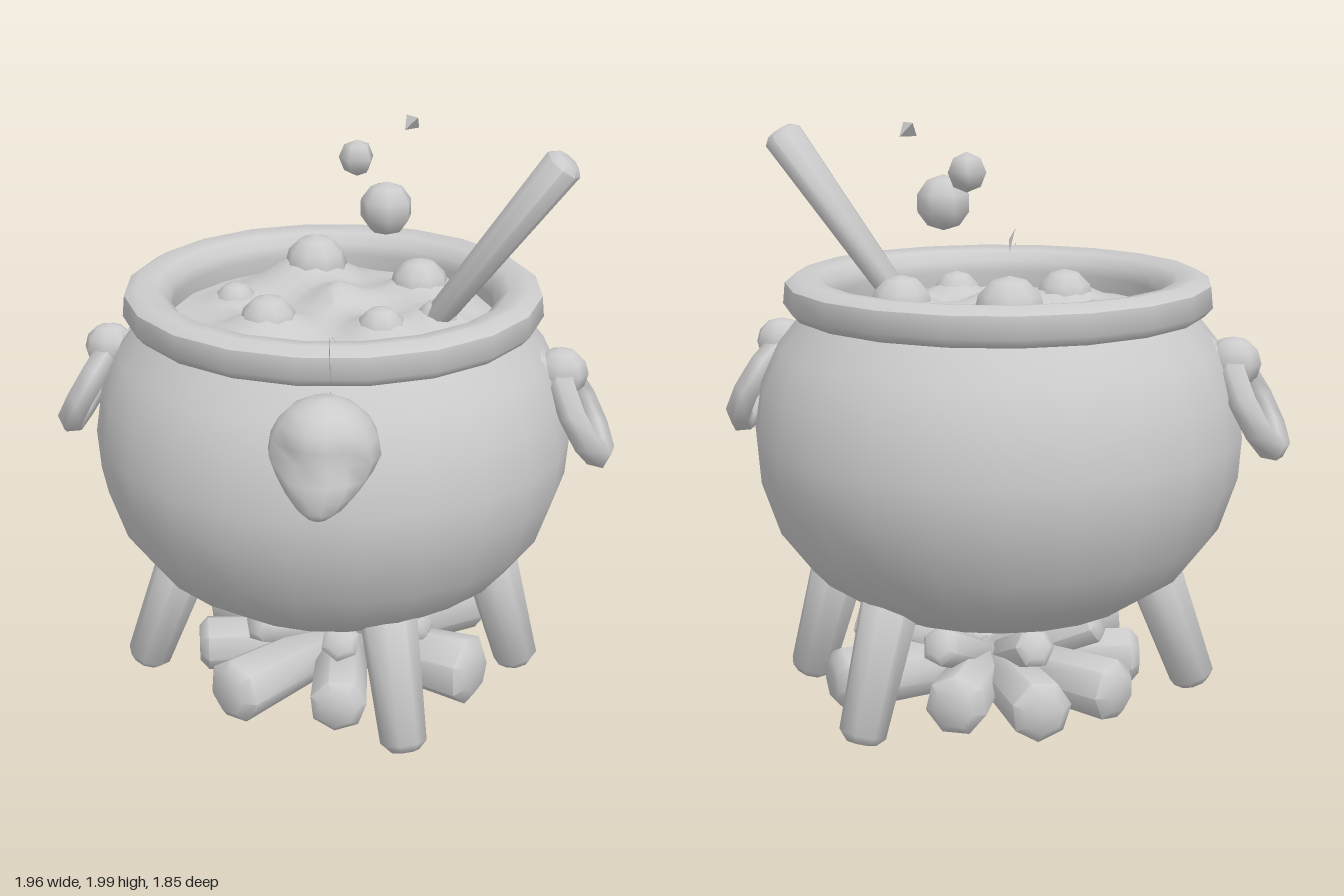
import * as THREE from 'three';
import { toCreasedNormals } from 'three/addons/utils/BufferGeometryUtils.js';

const CZ = -0.1; // depth of the pot's axis
const V = (x, y, z) => new THREE.Vector3(x, y, z);

export function createModel() {
  const root = new THREE.Group();
  const mat = new THREE.MeshStandardMaterial({ color: 0xcccccc });
  const thin = new THREE.MeshStandardMaterial({ color: 0xcccccc, side: THREE.DoubleSide });

  function add(name, geo, pos = [0, 0, 0], parent = root, material = mat) {
    const mesh = new THREE.Mesh(geo, material);
    mesh.name = name;
    mesh.position.set(...pos);
    parent.add(mesh);
    return mesh;
  }

  const lathe = (pts, segs) =>
    new THREE.LatheGeometry(pts.map(p => new THREE.Vector2(...p)), segs);

  // Tapered rod with chamfered ends running from a to b
  function rod(name, a, b, ra, rb, sides, parent = root) {
    const len = a.distanceTo(b), c = Math.min(ra, rb) * 0.35;
    const geo = lathe([[0, 0], [ra * 0.65, 0], [ra, c], [rb, len - c], [rb * 0.65, len], [0, len]], sides);
    const mesh = add(name, toCreasedNormals(geo, 1.1), a.toArray(), parent);
    mesh.quaternion.setFromUnitVectors(V(0, 1, 0), b.clone().sub(a).normalize());
    return mesh;
  }

  // Pot body
  add('potBody', lathe([[0, 0.3], [0.3, 0.33], [0.49, 0.39], [0.65, 0.5], [0.755, 0.64], [0.815, 0.82],
    [0.825, 0.96], [0.8, 1.12], [0.74, 1.25], [0.66, 1.35], [0.64, 1.38]], 24), [0, 0, CZ], root, thin);

  // Thick rolled rim, with an inner wall sloping into the stew
  add('rim', toCreasedNormals(lathe([[0.64, 1.36], [0.69, 1.36], [0.717, 1.39], [0.71, 1.46], [0.67, 1.485],
    [0.6, 1.475], [0.56, 1.44], [0.555, 1.4], [0.565, 1.33]], 20), 0.9), [0, 0, CZ], root, thin);

  // Bubbles rising out of the stew: x, y, z, radius
  const bubbles = [[-0.12, 1.415, -0.46, 0.115], [0.27, 1.395, -0.33, 0.105], [-0.19, 1.375, 0.08, 0.1],
    [0.19, 1.37, 0.08, 0.085], [-0.36, 1.35, -0.19, 0.075], [0, 1.36, -0.2, 0.08], [0.36, 1.36, -0.08, 0.075]];
  bubbles.forEach(([x, y, z, r]) => add('bubble', new THREE.SphereGeometry(r, 9, 6), [x, y, z]));

  // Stew surface, drawn up into a skirt around each bubble
  const stew = new THREE.RingGeometry(0.001, 0.58, 26, 11).rotateX(-Math.PI / 2);
  const sp = stew.attributes.position;
  for (let i = 0; i < sp.count; i++) {
    const x = sp.getX(i), z = sp.getZ(i);
    const fade = Math.min(1, (0.58 - Math.hypot(x, z)) / 0.1);
    let y = 0.015 * Math.sin(9 * x + 1) * Math.cos(8 * z);
    for (const [bx, by, bz, r] of bubbles) {
      const d = Math.hypot(x - bx, z + CZ - bz) / (r * 1.35);
      y += (by - 1.28) * Math.exp(-d * d);
    }
    sp.setY(i, y * fade);
  }
  stew.computeVertexNormals();
  add('stew', stew, [0, 1.345, CZ]);

  // Droplets in the air
  add('dropletLarge', new THREE.SphereGeometry(0.092, 7, 5), [0.17, 1.72, -0.17]);
  add('dropletMedium', new THREE.SphereGeometry(0.064, 5, 4), [0.04, 1.84, -0.37]);
  add('dropletSmall', new THREE.TetrahedronGeometry(0.038, 0), [0.23, 1.97, -0.37]);

  // Stirring stick, wider towards its top
  const stick = rod('stirringStick', V(0.34, 1.35, -0.065), V(0.77, 1.935, -0.07), 0.06, 0.09, 8);
  stick.scale.set(0.75, 1, 1.05);

  // Skull ornament: a ball with sunken eye sockets, its lower half drawn forward into a jaw
  const head = new THREE.SphereGeometry(0.172, 14, 10);
  const hp = head.attributes.position;
  for (let i = 0; i < hp.count; i++) {
    const p = V().fromBufferAttribute(hp, i);
    const d = p.distanceTo(V(Math.sign(p.x) * 0.08, 0.01, 0.145));
    p.multiplyScalar(1 - 0.4 * Math.max(0, 1 - d / 0.075));
    const t = Math.max(0, -p.y / 0.172);
    p.x *= 1 - 0.3 * t;
    p.z += 0.11 * t * t;
    hp.setXYZ(i, p.x, p.y, Math.min(p.z, 0.165));
  }
  head.computeVertexNormals();
  add('skullOrnament', head, [0.11, 1.225, 0.76]);

  // Thin curved spike joining the skull to the rim
  const spike = new THREE.BufferGeometry().setFromPoints([
    V(0.12, 1.36, 0.7), V(0.1, 1.54, 0.6), V(0.1, 1.48, 0.61),
    V(0.1, 1.54, 0.6), V(0.09, 1.47, 0.46), V(0.12, 1.5, 0.58)]);
  spike.computeVertexNormals();
  add('spike', spike, [0, 0, 0], root, thin);

  // Side handles: a small head-shaped mount holding a hanging ring
  [[0, 'left'], [Math.PI, 'right']].forEach(([turn, side]) => {
    const handle = new THREE.Group();
    handle.name = side + 'Handle';
    handle.position.z = -0.065;
    handle.rotation.y = turn;
    root.add(handle);
    const ring = add('ring', new THREE.TorusGeometry(0.155, 0.047, 5, 9).rotateY(Math.PI / 2), [0.86, 1.06, 0], handle);
    ring.rotation.z = 0.5;
    const mount = add('mount', new THREE.SphereGeometry(0.088, 8, 6), [0.785, 1.205, 0], handle);
    mount.scale.set(1.05, 1, 0.9);
    rod('mountRoot', V(0.66, 1.22, 0), V(0.82, 1.16, 0), 0.08, 0.07, 7, handle);
  });

  // Four splayed legs: foot x, z and top x, z
  [[0.34, 0.5, 0.25, 0.33], [0.68, -0.15, 0.55, -0.14], [0.32, -0.7, 0.25, -0.54], [-0.67, 0.06, -0.5, 0.02]]
    .forEach(([fx, fz, tx, tz]) => rod('leg', V(fx, 0.025, fz), V(tx, 0.5, tz), 0.08, 0.1, 8));

  // Fire wood: logs laid in an uneven star (end x, z and radius)
  const fire = new THREE.Group();
  fire.name = 'fireWood';
  root.add(fire);
  [[0.55, 0.14, 0.125], [0.1, 0.43, 0.1], [-0.29, 0.41, 0.115], [-0.47, 0.05, 0.1], [-0.47, -0.32, 0.105],
    [-0.26, -0.56, 0.105], [0.04, -0.58, 0.105], [0.5, -0.44, 0.11]]
    .forEach(([x, z, r]) => rod('log', V(0.04, 0.11, -0.08), V(x, r + 0.012, z), 0.09, r, 7, fire));

  // Shorter pieces leaning outwards on top
  for (let i = 0; i < 7; i++) {
    const a = i * Math.PI / 3.5 + 0.5, c = Math.cos(a), s = Math.sin(a);
    rod('kindling', V(0.02 + c * 0.08, 0.15, CZ + s * 0.08), V(0.02 + c * 0.38, 0.29, CZ + s * 0.38), 0.06, 0.07, 6, fire);
  }
  return root;
}
